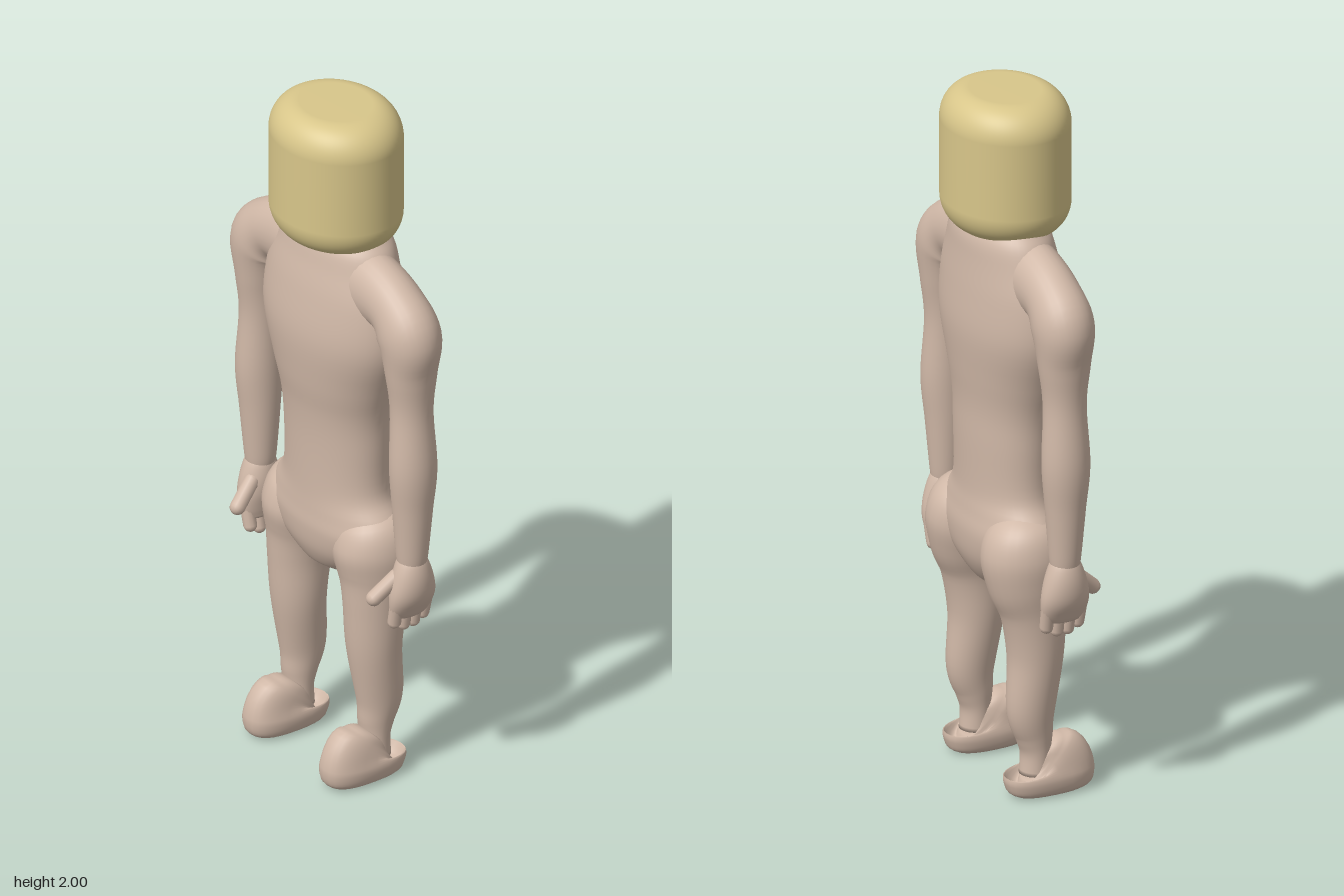
import * as THREE from 'three';

const skin = new THREE.MeshStandardMaterial({ color: 0xd0b8a7 });
skin.name = 'skin';
const headPaint = new THREE.MeshStandardMaterial({ color: 0xd8c68a });
headPaint.name = 'head yellow';

// Smooth closed loft. Rows are [x, y, z, side radius, depth radius];
// power below 1 squares off the oval cross-section.
function loft(name, rows, steps = 40, sides = 28, power = 1) {
  const path = new THREE.CatmullRomCurve3(rows.map(r => new THREE.Vector3(r[0], r[1], r[2])), false, 'catmullrom', 0.5);
  const radii = new THREE.CatmullRomCurve3(rows.map(r => new THREE.Vector3(r[3], r[4], 0)), false, 'catmullrom', 0.5);
  const pos = [], idx = [];
  const soft = v => Math.sign(v) * Math.abs(v) ** power;
  for (let i = 0; i <= steps; i++) {
    const t = i / steps, c = path.getPoint(t), r = radii.getPoint(t), T = path.getTangent(t);
    const n = new THREE.Vector3(T.y, -T.x, 0).normalize();
    const b = n.clone().cross(T);
    for (let j = 0; j < sides; j++) {
      const a = j / sides * Math.PI * 2;
      const p = c.clone().addScaledVector(n, soft(Math.cos(a)) * r.x).addScaledVector(b, -soft(Math.sin(a)) * r.y);
      pos.push(p.x, p.y, p.z);
    }
  }
  for (let i = 0; i < steps; i++) {
    for (let j = 0; j < sides; j++) {
      const k = (j + 1) % sides, a = i * sides, b = a + sides;
      idx.push(a + j, a + k, b + k, a + j, b + k, b + j);
    }
  }
  // End caps
  const first = pos.length / 3, last = steps * sides;
  pos.push(...path.getPoint(0).toArray(), ...path.getPoint(1).toArray());
  for (let j = 0; j < sides; j++) {
    const k = (j + 1) % sides;
    idx.push(first, k, j, first + 1, last + j, last + k);
  }
  const g = new THREE.BufferGeometry();
  g.setAttribute('position', new THREE.Float32BufferAttribute(pos, 3));
  g.setIndex(idx);
  g.computeVertexNormals();
  const mesh = new THREE.Mesh(g, skin);
  mesh.name = name;
  return mesh;
}

// Rounded finger between two points
function digit(name, from, to, radius) {
  const a = new THREE.Vector3(...from), b = new THREE.Vector3(...to), d = b.clone().sub(a);
  const mesh = new THREE.Mesh(new THREE.CapsuleGeometry(radius, d.length(), 5, 12), skin);
  mesh.position.copy(a).add(b).multiplyScalar(0.5);
  mesh.quaternion.setFromUnitVectors(new THREE.Vector3(0, 1, 0), d.normalize());
  mesh.name = name;
  return mesh;
}

// Oval cylinder with rounded rims
function makeHead() {
  const s = new THREE.Shape();
  const R = 0.2, r = 0.09, H = 0.4;
  s.moveTo(0, 0);
  s.lineTo(R - r, 0);
  s.absarc(R - r, r, r, -Math.PI / 2, 0, false);
  s.absarc(R - r, H - r, r, 0, Math.PI / 2, false);
  s.lineTo(0, H);
  const pts = s.getPoints(10).filter((p, i, all) => i === 0 || p.distanceTo(all[i - 1]) > 1e-5);
  pts[pts.length - 1].x = 0;
  if (pts[pts.length - 1].distanceTo(pts[0]) < 1e-5) pts.pop();
  const head = new THREE.Mesh(new THREE.LatheGeometry(pts, 64), headPaint);
  head.scale.z = 0.86;
  head.position.y = 1.6;
  head.name = 'head';
  return head;
}

function makeArm(s, side) {
  const g = new THREE.Group();
  g.name = side + 'Arm';
  const m = rows => rows.map(([x, ...rest]) => [x * s, ...rest]);
  g.add(loft(side + 'ShoulderAndArm', m([
    [0.08, 1.50, 0, 0.125, 0.09], [0.19, 1.505, 0, 0.105, 0.08], [0.275, 1.485, 0, 0.088, 0.078],
    [0.33, 1.425, 0, 0.096, 0.084], [0.338, 1.32, 0, 0.07, 0.073], [0.34, 1.2, 0, 0.058, 0.06],
    [0.347, 1.03, 0, 0.063, 0.067], [0.344, 0.9, 0, 0.056, 0.056], [0.342, 0.77, 0, 0.046, 0.045],
    [0.342, 0.725, 0, 0.04, 0.04]]), 54));
  // Hand with four fingers and a thumb
  g.add(loft(side + 'Palm', m([
    [0.342, 0.755, 0, 0.03, 0.03], [0.342, 0.735, 0, 0.042, 0.044], [0.343, 0.69, 0, 0.05, 0.06],
    [0.342, 0.64, 0, 0.047, 0.07], [0.335, 0.595, 0, 0.032, 0.067], [0.33, 0.57, 0, 0.022, 0.055]]), 20, 24));
  [-0.05, -0.017, 0.017, 0.049].forEach((z, i) => {
    const tip = 0.538 + (i === 0 || i === 3 ? 0.014 : 0);
    g.add(digit(side + 'Finger' + (i + 1), [0.338 * s, 0.61, z], [0.325 * s, tip, z * 0.95], 0.019));
  });
  g.add(digit(side + 'Thumb', [0.325 * s, 0.69, 0.04], [0.307 * s, 0.635, 0.102], 0.022));
  return g;
}

function makeLeg(s, side) {
  const g = new THREE.Group();
  g.name = side + 'Leg';
  const m = rows => rows.map(([x, ...rest]) => [x * s, ...rest]);
  g.add(loft(side + 'ThighAndCalf', m([
    [0.14, 0.82, -0.01, 0.04, 0.05], [0.148, 0.77, -0.015, 0.1, 0.105], [0.157, 0.7, -0.02, 0.116, 0.127],
    [0.165, 0.62, -0.018, 0.103, 0.115], [0.17, 0.53, -0.005, 0.086, 0.092], [0.17, 0.4, 0, 0.077, 0.077],
    [0.173, 0.25, -0.015, 0.06, 0.068], [0.172, 0.17, -0.005, 0.05, 0.052], [0.172, 0.12, 0, 0.046, 0.042],
    [0.172, 0.06, 0, 0.046, 0.045]]), 50));
  g.add(loft(side + 'Foot', m([
    [0.173, 0, 0.04, 0.045, 0.1], [0.173, 0.015, 0.04, 0.062, 0.122], [0.173, 0.05, 0.04, 0.069, 0.131],
    [0.173, 0.08, 0.037, 0.062, 0.122], [0.172, 0.1, 0.022, 0.053, 0.088], [0.172, 0.115, 0.005, 0.044, 0.045]]), 24, 28, 0.8));
  return g;
}

export function createModel() {
  const model = new THREE.Group();
  model.name = 'figure';
  // Torso and pelvis
  model.add(loft('torso', [
    [0, 0.575, -0.005, 0.07, 0.05], [0, 0.6, -0.008, 0.12, 0.085], [0, 0.66, -0.01, 0.215, 0.115],
    [0, 0.73, -0.01, 0.262, 0.125], [0, 0.79, -0.008, 0.232, 0.12], [0, 0.86, -0.006, 0.187, 0.116],
    [0, 1.0, -0.006, 0.185, 0.119], [0, 1.1, -0.003, 0.192, 0.124], [0, 1.2, 0, 0.22, 0.137],
    [0, 1.33, 0, 0.262, 0.148], [0, 1.45, -0.004, 0.256, 0.138], [0, 1.54, -0.01, 0.225, 0.124],
    [0, 1.6, -0.014, 0.2, 0.114], [0, 1.635, -0.015, 0.17, 0.095]], 64, 48));
  model.add(makeHead());
  for (const [s, side] of [[1, 'left'], [-1, 'right']]) model.add(makeArm(s, side), makeLeg(s, side));
  return model;
}
